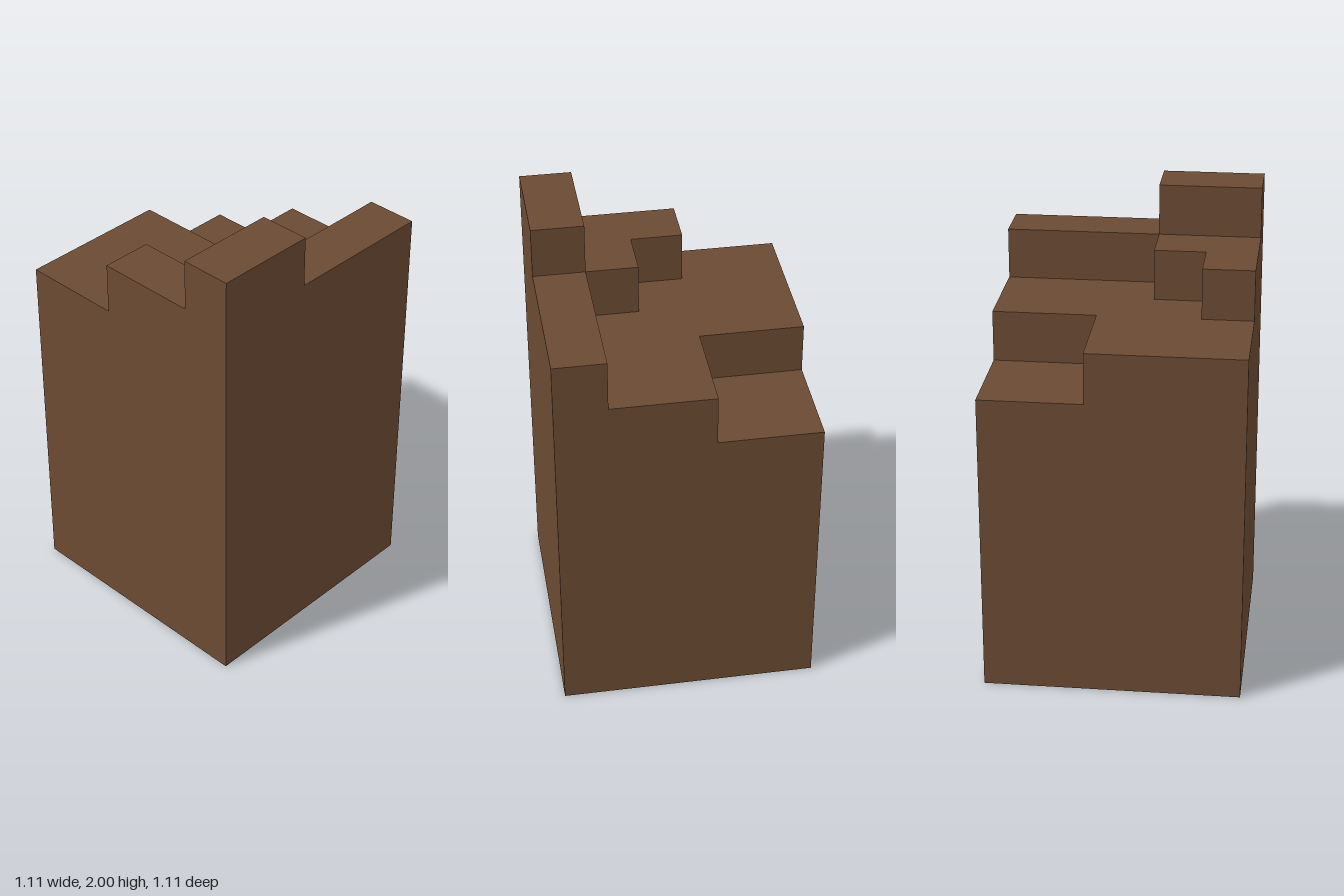
import * as THREE from 'three';

const U = 2 / 9; // grid unit: the block is 5 x 5 units in plan and 9 high

// Prism over a plan outline given in grid units [x, z], measured from the back corner at -x, -z
function layer(name, outline, bottom, top, material) {
  const shape = new THREE.Shape(
    outline.map(([x, z]) => new THREE.Vector2((x - 2.5) * U, (2.5 - z) * U))
  );
  const geometry = new THREE.ExtrudeGeometry(shape, { depth: (top - bottom) * U, bevelEnabled: false });
  geometry.rotateX(-Math.PI / 2);
  geometry.translate(0, bottom * U, 0);
  const mesh = new THREE.Mesh(geometry, material);
  mesh.name = name;
  return mesh;
}

export function createModel() {
  const brown = new THREE.MeshStandardMaterial({ color: 0x6b4a33 });
  brown.name = 'brown';

  const group = new THREE.Group();
  group.name = 'steppedBlock';
  group.add(
    // Full square body
    layer('body', [[0, 0], [5, 0], [5, 5], [0, 5]], 0, 6, brown),
    // Main top, with the back corner left open
    layer('mainTop', [[2, 0], [5, 0], [5, 5], [0, 5], [0, 2], [2, 2]], 6, 7, brown),
    // Side strip with steps running along the front
    layer('steppedRidge', [[4, 0], [5, 0], [5, 5], [2, 5], [2, 4], [3, 4], [3, 3], [4, 3]], 7, 8, brown),
    // Highest block on the front corner
    layer('cornerPeak', [[4, 3], [5, 3], [5, 5], [4, 5]], 8, 9, brown)
  );
  return group;
}
